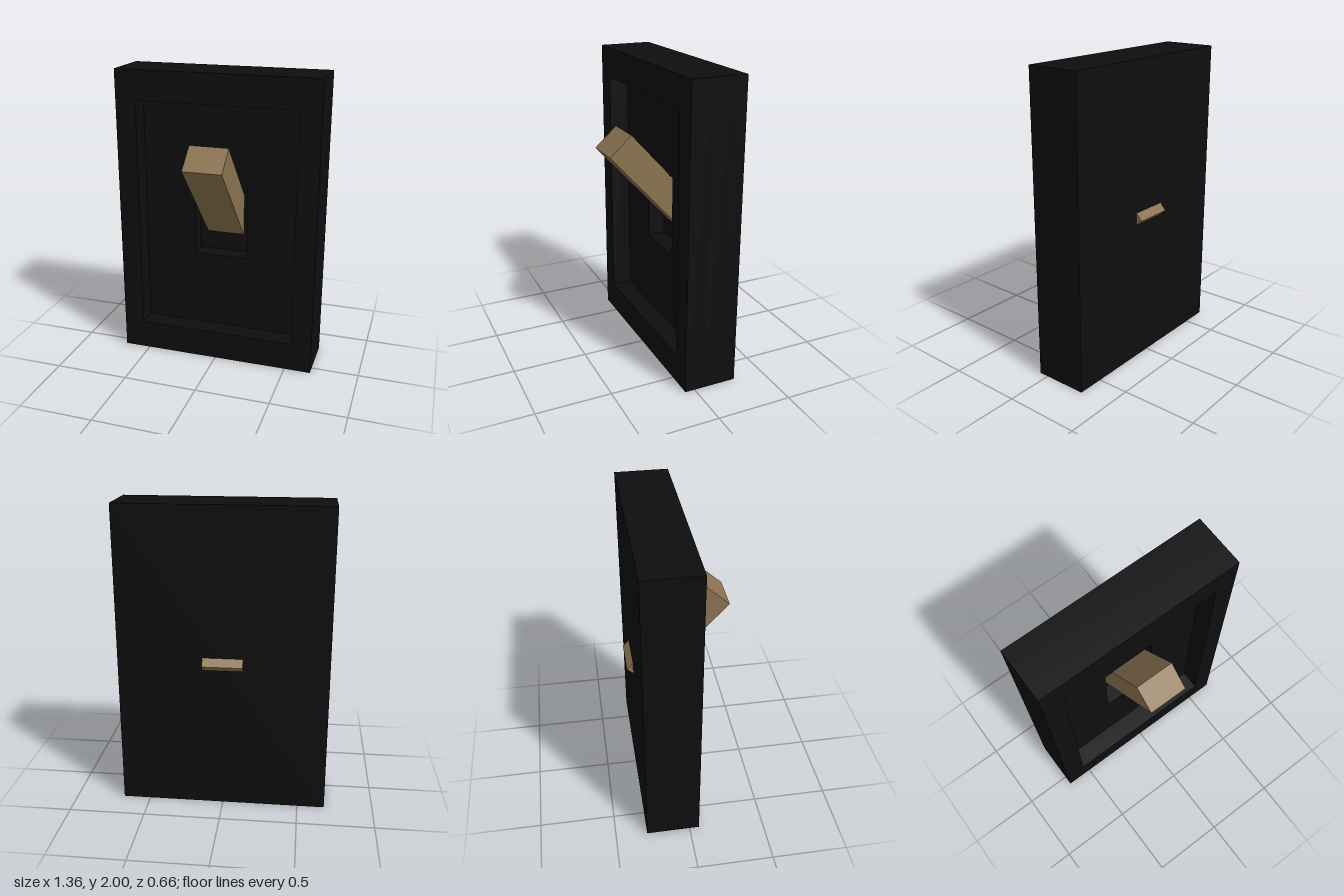
import * as THREE from 'three';

const HALF_W = 0.68, HEIGHT = 2;

// Rectangle path from half width and vertical range
function rect(PathType, halfW, y0, y1) {
  return new PathType([
    new THREE.Vector2(-halfW, y0), new THREE.Vector2(halfW, y0),
    new THREE.Vector2(halfW, y1), new THREE.Vector2(-halfW, y1),
  ]);
}

// Full-size slab between two depths, with an optional rectangular opening
function slab(name, z0, z1, material, opening) {
  const shape = rect(THREE.Shape, HALF_W, 0, HEIGHT);
  if (opening) shape.holes.push(rect(THREE.Path, ...opening));
  const geometry = new THREE.ExtrudeGeometry(shape, { depth: z1 - z0, bevelEnabled: false });
  geometry.translate(0, 0, z0);
  const mesh = new THREE.Mesh(geometry, material);
  mesh.name = name;
  return mesh;
}

export function createModel() {
  const model = new THREE.Group();
  model.name = 'wallSwitch';
  const black = new THREE.MeshStandardMaterial({ color: 0x0e0e0e });
  const brown = new THREE.MeshStandardMaterial({ color: 0x8b7350 });

  // Plate: raised rim, recessed panel with a slot, solid back
  const plate = new THREE.Group();
  plate.name = 'plate';
  plate.add(
    slab('rim', -0.07, 0.065, black, [0.54, 0.2, 1.8]),
    slab('slottedPanel', -0.19, -0.07, black, [0.185, 0.73, 1.27]),
    slab('backPlate', -0.29, -0.19, black),
  );
  model.add(plate);

  // Lever: slanted bar passing through the slot and out of the back
  const lever = new THREE.Mesh(new THREE.BoxGeometry(0.26, 0.775, 0.195), brown);
  lever.name = 'lever';
  lever.position.set(0, 1.212, 0.001);
  lever.rotation.x = 0.735;
  model.add(lever);

  return model;
}
